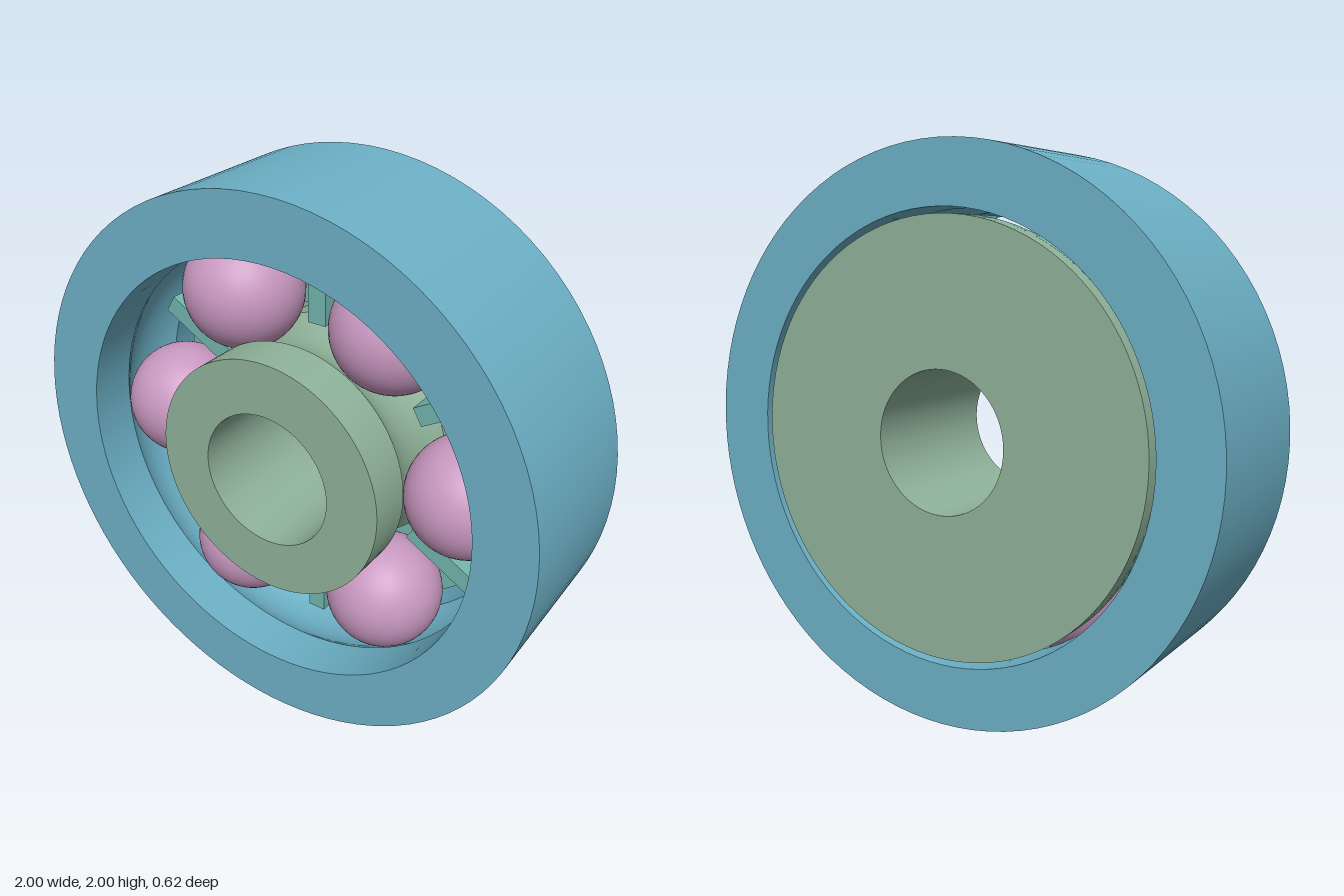
import * as THREE from 'three';
import { toCreasedNormals } from 'three/addons/utils/BufferGeometryUtils.js';

const HALF_WIDTH = 0.31;
const PITCH = 0.61; // radius of the circle the ball centres lie on
const BALL = 0.216;
const RACE = 0.219; // radius of the grooves
const COUNT = 6;

const material = (color) => new THREE.MeshStandardMaterial({ color });

// Points of the groove arc between its two edges on a shoulder of the given radius.
function groove(shoulder, fromFront) {
  const reach = Math.acos(Math.abs(shoulder - PITCH) / RACE);
  const side = Math.sign(shoulder - PITCH);
  const points = [];
  for (let i = 0; i <= 16; i++) {
    const a = (fromFront ? 1 : -1) * reach * (1 - i / 8);
    points.push([PITCH + side * RACE * Math.cos(a), RACE * Math.sin(a)]);
  }
  return points;
}

// Revolves a counter-clockwise (radius, z) outline around the z axis.
function revolve(name, outline, mat) {
  const points = [...outline, outline[0]].map(([r, z]) => new THREE.Vector2(r, z));
  const geometry = new THREE.LatheGeometry(points, 96).rotateX(Math.PI / 2);
  const mesh = new THREE.Mesh(toCreasedNormals(geometry, 0.45), mat);
  mesh.name = name;
  return mesh;
}

export function createModel() {
  const model = new THREE.Group();
  model.name = 'ballBearing';
  const bearing = new THREE.Group();
  bearing.name = 'bearing';
  bearing.position.y = 1;
  model.add(bearing);

  const blue = material(0x6cb0c6);
  const green = material(0x8fb299);
  const pink = material(0xc898c0);
  const teal = material(0x72b5ac);

  // Outer ring with the ball groove on its inside
  bearing.add(revolve('outerRing', [
    [1, -HALF_WIDTH], [1, HALF_WIDTH], [0.782, HALF_WIDTH],
    ...groove(0.782, true),
    [0.782, -HALF_WIDTH],
  ], blue));

  // Inner ring with groove and a wide flange closing the back
  bearing.add(revolve('innerRing', [
    [0.25, -HALF_WIDTH], [0.76, -HALF_WIDTH], [0.76, -0.25], [0.445, -0.25],
    ...groove(0.445, false),
    [0.445, HALF_WIDTH], [0.25, HALF_WIDTH],
  ], green));

  // Cage: flat plate behind the balls with a bar between each pair
  const cage = new THREE.Group();
  cage.name = 'cage';
  bearing.add(cage);
  cage.add(revolve('cagePlate', [
    [0.465, -0.249], [0.76, -0.249], [0.76, -0.22], [0.465, -0.22],
  ], teal));
  const barGeometry = new THREE.BoxGeometry(0.295, 0.07, 0.23).translate(0.6125, 0, -0.115);
  const ballGeometry = new THREE.SphereGeometry(BALL, 48, 32);

  for (let i = 0; i < COUNT; i++) {
    const angle = (i / COUNT) * Math.PI * 2;

    const ball = new THREE.Mesh(ballGeometry, pink);
    ball.name = 'ball';
    ball.position.set(PITCH * Math.cos(angle), PITCH * Math.sin(angle), 0);
    bearing.add(ball);

    const bar = new THREE.Mesh(barGeometry, teal);
    bar.name = 'cageBar';
    bar.rotation.z = angle + Math.PI / COUNT;
    cage.add(bar);
  }

  return model;
}
